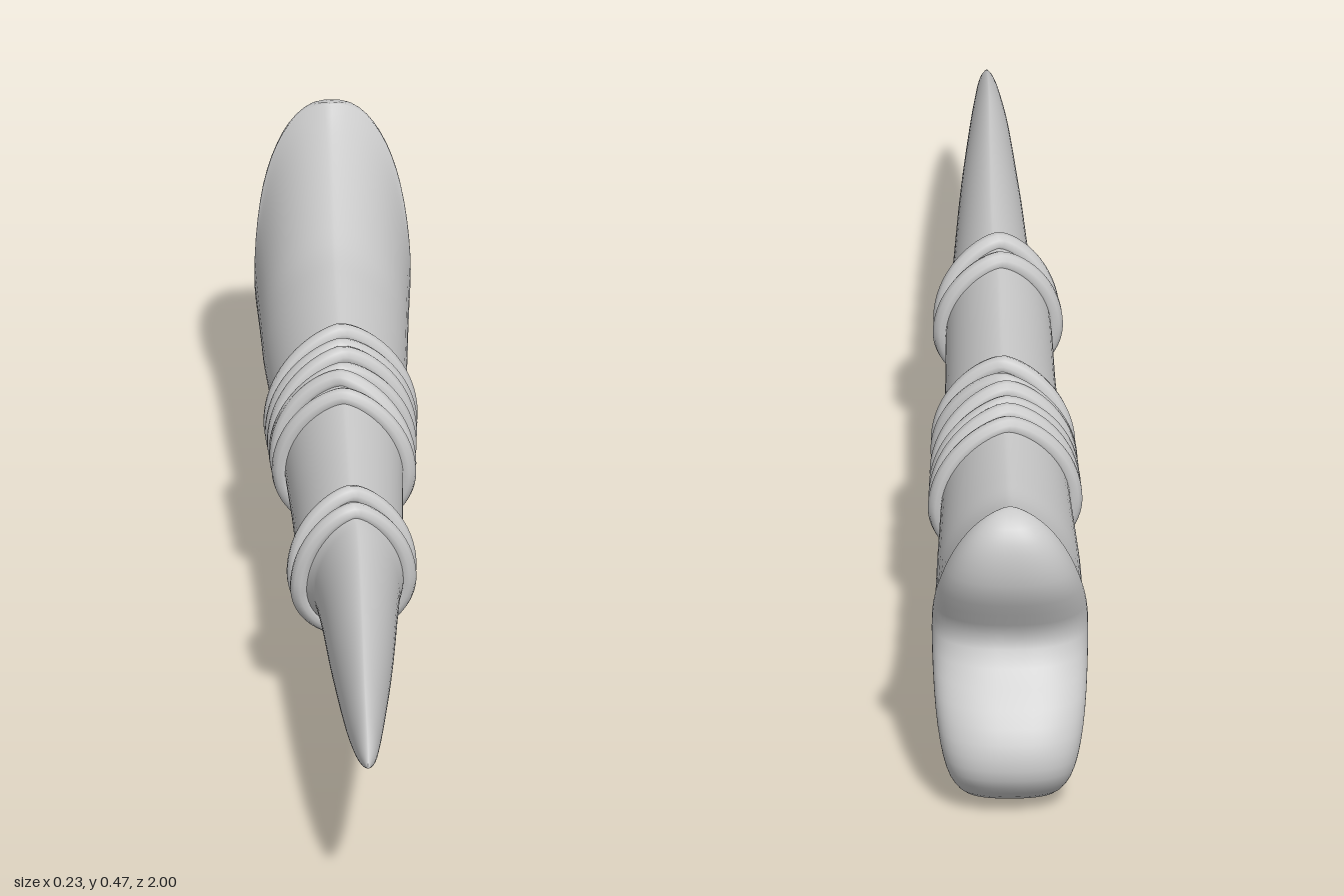
import * as THREE from 'three';
import { mergeVertices } from 'three/addons/utils/BufferGeometryUtils.js';

// Stations along the body: z, top y, bottom y, half width, centre x
const STATIONS = [
  [1.0, 0.217, 0.213, 0.002, 0.02],
  [0.96, 0.236, 0.197, 0.012, 0.02],
  [0.9, 0.255, 0.18, 0.02, 0.019],
  [0.8, 0.274, 0.164, 0.03, 0.018],
  [0.6, 0.291, 0.144, 0.045, 0.018],
  [0.3, 0.305, 0.125, 0.064, 0.016],
  [0.26, 0.306, 0.123, 0.075, 0.01],
  [0.0, 0.309, 0.12, 0.082, 0.007],
  [-0.3, 0.321, 0.114, 0.093, 0.003],
  [-0.57, 0.341, 0.102, 0.106, 0],
  [-0.62, 0.353, 0.092, 0.108, 0],
  [-0.75, 0.431, 0.033, 0.114, 0],
  [-0.82, 0.462, 0.009, 0.115, 0],
  [-0.89, 0.47, 0.0, 0.115, 0],
];

// Rear outline of the two knuckles: ring angle in degrees, z
const BACK = [
  [90, -0.89], [70, -0.928], [50, -0.947], [30, -0.943], [15, -0.915], [3, -0.892],
  [-8, -0.922], [-17, -0.962], [-30, -0.994], [-45, -0.997], [-60, -0.97], [-75, -0.932], [-90, -0.89],
];

// Smooth interpolation of table rows sorted by falling key
function sample(table, key) {
  let i = 0;
  while (i < table.length - 2 && key < table[i + 1][0]) i++;
  const slope = (k, c) => {
    const a = table[Math.max(k - 1, 0)], b = table[Math.min(k + 1, table.length - 1)];
    return (b[c] - a[c]) / (b[0] - a[0]);
  };
  const p = table[i], q = table[i + 1], d = q[0] - p[0], t = (key - p[0]) / d;
  return p.map((v, c) => c === 0 ? key :
    (2 * t ** 3 - 3 * t * t + 1) * v + (t ** 3 - 2 * t * t + t) * d * slope(i, c) +
    (3 * t * t - 2 * t ** 3) * q[c] + (t ** 3 - t * t) * d * slope(i + 1, c));
}

// Point on the skin: teardrop section on the shaft, rounder section in the head
function skin(z, a, grow = 0) {
  const [, top, bottom, w, cx] = sample(STATIONS, z);
  const head = THREE.MathUtils.smoothstep(-z, 0.55, 0.89);
  const s = Math.sin(a), c = Math.cos(a);
  const cy = THREE.MathUtils.lerp(bottom, top, 0.4 + 0.1 * head);
  const power = s > 0 ? 1.35 - 0.35 * head : 1 - 0.45 * head;
  const x = cx + (w + grow) * Math.sign(c) * Math.abs(c) ** power;
  const y = cy + s * (s > 0 ? top - cy + grow : cy - bottom + grow);
  const deg = THREE.MathUtils.radToDeg(Math.asin(THREE.MathUtils.clamp(s, -1, 1)));
  const back = sample(BACK, deg)[1];
  const rim = back + 0.08 * Math.abs(c);
  return { p: new THREE.Vector3(x, y, THREE.MathUtils.lerp(z, rim, head)), back };
}

function bodyGeometry() {
  const sides = 64, rings = 110, capRings = 14;
  const pos = [], index = [];
  for (let i = 0; i <= rings + capRings; i++) {
    const z = 1 - 1.89 * Math.min(i / rings, 1);
    const cap = Math.max(0, (i - rings) / capRings) * Math.PI / 2;
    for (let j = 0; j < sides; j++) {
      const { p, back } = skin(z, j / sides * Math.PI * 2);
      // The rear cap narrows onto the knuckle outline
      if (cap > 0) {
        p.x *= i === rings + capRings ? 0 : Math.cos(cap) ** 0.8;
        p.z = THREE.MathUtils.lerp(p.z, back, Math.sin(cap));
      }
      pos.push(p.x, p.y, p.z);
      if (i < rings + capRings) {
        const k = (j + 1) % sides, a = i * sides, b = a + sides;
        index.push(a + j, b + j, a + k, b + j, b + k, a + k);
      }
    }
  }
  // Close the tip
  pos.push(0.02, 0.215, 1);
  for (let j = 0; j < sides; j++) index.push(pos.length / 3 - 1, j, (j + 1) % sides);
  let g = new THREE.BufferGeometry();
  g.setAttribute('position', new THREE.Float32BufferAttribute(pos, 3));
  g.setIndex(index);
  g = mergeVertices(g, 1e-5);
  g.computeVertexNormals();
  return g;
}

// Cord loop around the shaft, tilted sideways and lengthwise
function cordGeometry(z, tiltX, tiltY) {
  const points = [];
  for (let j = 0; j < 32; j++) {
    const a = j / 32 * Math.PI * 2;
    points.push(skin(z + tiltX * Math.cos(a) + tiltY * Math.sin(a), a, 0.004).p);
  }
  return new THREE.TubeGeometry(new THREE.CatmullRomCurve3(points, true), 80, 0.015, 10, true);
}

export function createModel() {
  const model = new THREE.Group();
  model.name = 'boneDagger';
  const material = new THREE.MeshStandardMaterial({ color: 0xcccccc });

  const body = new THREE.Mesh(bodyGeometry(), material);
  body.name = 'boneBody';
  model.add(body);

  // Loops: z, sideways tilt, lengthwise tilt
  const wraps = {
    frontBinding: [[0.255, -0.012, 0.012], [0.212, -0.014, -0.008]],
    gripBinding: [
      [-0.152, 0.006, 0.008], [-0.195, 0.016, -0.01], [-0.238, -0.012, 0.008],
      [-0.278, -0.016, -0.006], [-0.316, -0.014, 0.006], [-0.35, -0.016, -0.008],
    ],
  };
  for (const [name, loops] of Object.entries(wraps)) {
    const group = new THREE.Group();
    group.name = name;
    for (const loop of loops) {
      const cord = new THREE.Mesh(cordGeometry(...loop), material);
      cord.name = 'cordLoop';
      group.add(cord);
    }
    model.add(group);
  }
  return model;
}
